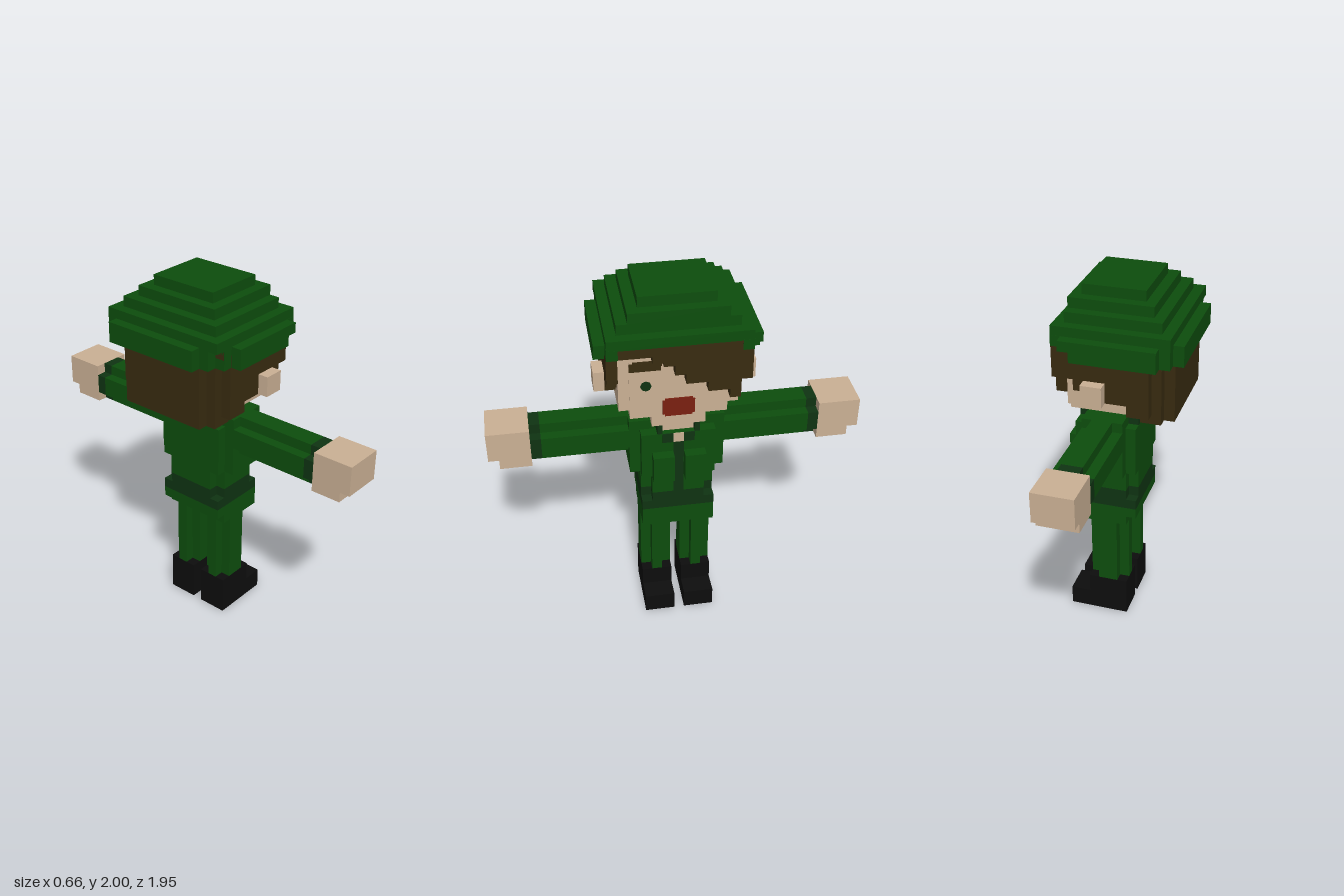
import * as THREE from 'three';

const mat = (name, color) => {
  const m = new THREE.MeshStandardMaterial({ color });
  m.name = name;
  return m;
};

export function createModel() {
  const model = new THREE.Group();
  const green = mat('uniform green', 0x0d4d0d);
  const dark = mat('dark green', 0x0f3312);
  const skin = mat('skin', 0xcab094);
  const brown = mat('hair brown', 0x382b10);
  const red = mat('mouth red', 0x7a2010);
  const black = mat('boot black', 0x0d0d0d);

  // Box given by its limits on each axis
  const box = (name, m, x0, x1, y0, y1, z0, z1) => {
    const mesh = new THREE.Mesh(new THREE.BoxGeometry(x1 - x0, y1 - y0, z1 - z0), m);
    mesh.position.set((x0 + x1) / 2, (y0 + y1) / 2, (z0 + z1) / 2);
    mesh.name = name;
    model.add(mesh);
  };
  // Box centred on z = 0
  const mid = (name, m, x0, x1, y0, y1, z) => box(name, m, x0, x1, y0, y1, -z, z);
  // Mirrored pair of boxes
  const pair = (name, m, x0, x1, y0, y1, z0, z1) => {
    box(name + 'Left', m, x0, x1, y0, y1, z0, z1);
    box(name + 'Right', m, x0, x1, y0, y1, -z1, -z0);
  };

  // Boots and notched legs
  pair('boot', black, 0, 0.22, 0, 0.22, 0.028, 0.193);
  pair('bootToe', black, 0.22, 0.33, 0, 0.11, 0.028, 0.193);
  pair('legCore', green, 0, 0.22, 0.22, 0.64, 0.083, 0.138);
  pair('legSides', green, 0.055, 0.165, 0.22, 0.64, 0.028, 0.193);

  // Jacket skirt, belt and waist
  mid('skirtFront', green, 0, 0.275, 0.615, 0.727, 0.193);
  mid('skirtBack', green, -0.055, 0, 0.67, 0.727, 0.193);
  mid('belt', dark, -0.055, 0.275, 0.727, 0.782, 0.193);
  mid('beltUpperSides', dark, 0, 0.22, 0.782, 0.838, 0.193);
  mid('beltUpperMiddle', dark, -0.055, 0.275, 0.782, 0.838, 0.138);
  mid('waistSides', green, 0, 0.22, 0.838, 0.95, 0.193);
  mid('waistMiddle', green, -0.055, 0.275, 0.838, 0.95, 0.138);

  // Chest, shoulders and pockets
  mid('shoulders', green, 0, 0.22, 0.95, 1.28, 0.248);
  mid('upperBack', green, -0.055, 0, 0.95, 1.225, 0.193);
  mid('chest', green, 0.22, 0.275, 0.95, 1.225, 0.193);
  pair('chestPocket', green, 0.275, 0.33, 0.95, 1.11, 0.028, 0.138);
  mid('placket', dark, 0.274, 0.279, 0.838, 1.17, 0.027);
  pair('collarFront', dark, 0.274, 0.28, 1.17, 1.225, 0.028, 0.083);
  pair('collarTop', dark, 0.22, 0.275, 1.225, 1.28, 0.083, 0.11);
  mid('collarBack', dark, -0.055, 0, 1.225, 1.28, 0.138);
  mid('neckOpening', skin, 0.274, 0.279, 1.17, 1.225, 0.028);

  // Arms with notched sleeves, cuffs and hands
  pair('sleeveCore', green, 0, 0.22, 1.115, 1.225, 0.2, 0.698);
  pair('sleeveMiddle', green, 0.055, 0.165, 1.06, 1.28, 0.2, 0.698);
  pair('cuffCore', dark, 0, 0.22, 1.115, 1.225, 0.698, 0.753);
  pair('cuffMiddle', dark, 0.055, 0.165, 1.06, 1.28, 0.698, 0.753);
  pair('palm', skin, 0, 0.22, 1.06, 1.28, 0.753, 0.918);
  pair('fingers', skin, 0, 0.22, 1.115, 1.28, 0.918, 0.973);

  // Neck and head
  mid('neck', skin, 0.055, 0.245, 1.21, 1.3, 0.083);
  mid('chin', skin, 0, 0.275, 1.28, 1.34, 0.138);
  mid('face', skin, -0.11, 0.275, 1.34, 1.73, 0.248);
  mid('cheeks', skin, -0.11, 0.27, 1.39, 1.73, 0.303);
  pair('ear', skin, 0.055, 0.165, 1.45, 1.56, 0.303, 0.414);

  // Eye, eyebrow and mouth as thin plates
  const eye = new THREE.Mesh(new THREE.CylinderGeometry(0.028, 0.028, 0.006, 8), dark);
  eye.rotation.z = Math.PI / 2;
  eye.position.set(0.277, 1.53, 0.165);
  eye.name = 'eye';
  model.add(eye);
  box('eyebrow', brown, 0.274, 0.281, 1.62, 1.665, 0.09, 0.248);
  box('eyebrowTip', brown, 0.274, 0.28, 1.645, 1.675, 0.085, 0.23);
  mid('mouth', red, 0.274, 0.28, 1.35, 1.435, 0.082);
  mid('mouthMiddle', red, 0.274, 0.281, 1.34, 1.445, 0.07);

  // Hair: back, stepped sides and swept fringe
  mid('hairBack', brown, -0.275, -0.22, 1.34, 1.7, 0.248);
  mid('hairBackSides', brown, -0.22, -0.11, 1.34, 1.7, 0.303);
  mid('hairCrown', brown, -0.22, 0.28, 1.73, 1.785, 0.355);
  const sides = [[-0.17, -0.11, 1.39], [-0.11, -0.055, 1.39], [-0.055, 0.165, 1.45],
    [0.165, 0.22, 1.5], [0.22, 0.278, 1.56]];
  for (const [x0, x1, y0] of sides) pair('hairSide', brown, x0, x1, y0, 1.74, 0.302, 0.358);
  mid('fringeTop', brown, 0.27, 0.33, 1.73, 1.78, 0.303);
  const fringe = [[0.138, 0.083, 1.69], [0.083, 0.028, 1.67], [0.028, -0.028, 1.615],
    [-0.028, -0.138, 1.56], [-0.138, -0.193, 1.505], [-0.193, -0.248, 1.505],
    [-0.248, -0.303, 1.455], [-0.303, -0.358, 1.56]];
  for (const [z1, z0, y0] of fringe) box('fringeLock', brown, 0.27, 0.33, y0, 1.73, z0, z1);

  // Stepped hat crown: x range, y range, half width
  const tiers = [[-0.11, 0.22, 1.945, 2, 0.193], [-0.165, 0.275, 1.89, 1.945, 0.248],
    [-0.22, 0.275, 1.835, 1.89, 0.303], [-0.275, 0.33, 1.78, 1.835, 0.358]];
  for (const t of tiers) mid('hatTier', green, ...t);

  // Hat brim, rounded off in steps at the back
  box('brimBack', green, -0.33, -0.275, 1.675, 1.785, -0.303, 0.248);
  box('brimBackInner', green, -0.275, -0.22, 1.675, 1.785, -0.358, 0.303);
  box('brimBackCorner', green, -0.22, -0.165, 1.675, 1.785, -0.414, 0.358);
  pair('brimSide', green, -0.165, 0.22, 1.675, 1.785, 0.355, 0.414);
  pair('brimFrontSide', green, 0.22, 0.275, 1.73, 1.785, 0.355, 0.414);
  pair('brimFrontCorner', green, 0.275, 0.331, 1.728, 1.785, 0.303, 0.36);

  return model;
}
